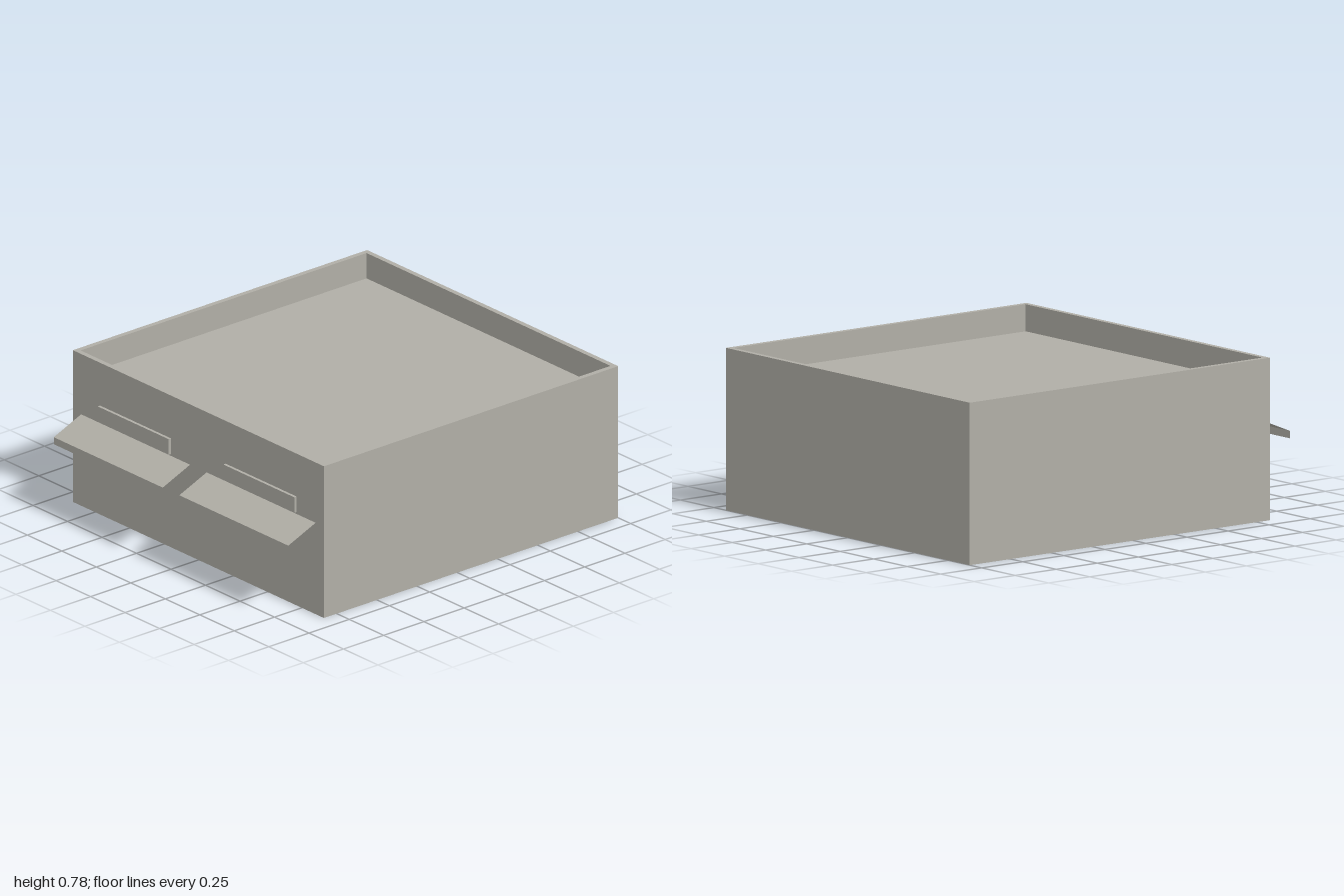
import * as THREE from 'three';

export function createModel() {
  const model = new THREE.Group();
  const grey = new THREE.MeshStandardMaterial({ color: 0xb0aea6, side: THREE.DoubleSide });
  grey.name = 'warm grey concrete';

  const HALF = 0.91, BACK = -1, FRONT = 0.83, TOP = 0.78;
  const RIM = 0.026, ROOF = 0.65;
  const depth = FRONT - BACK, midZ = (FRONT + BACK) / 2;

  const add = (name, geometry, parent = model) => {
    const mesh = new THREE.Mesh(geometry, grey);
    mesh.name = name;
    parent.add(mesh);
    return mesh;
  };

  // Four upright sheets around a rectangle; inward turns them to face the middle
  const addWalls = (name, w, d, y0, y1, inward) => {
    const walls = new THREE.Group();
    walls.name = name;
    for (let i = 0; i < 4; i++) {
      const width = i % 2 ? d : w, away = (i % 2 ? w : d) / 2;
      const g = new THREE.PlaneGeometry(width, y1 - y0);
      if (inward) g.rotateY(Math.PI);
      g.translate(0, (y0 + y1) / 2, away).rotateY(i * Math.PI / 2).translate(0, 0, midZ);
      add(['front', 'left', 'back', 'right'][i] + 'Wall', g, walls);
    }
    model.add(walls);
  };

  // Open-bottomed shell with a parapet around a sunken roof
  const innerW = 2 * (HALF - RIM), innerD = depth - 2 * RIM;
  addWalls('outerWalls', 2 * HALF, depth, 0, TOP, false);
  addWalls('parapetInside', innerW, innerD, ROOF, TOP, true);
  add('roof', new THREE.PlaneGeometry(innerW, innerD).rotateX(-Math.PI / 2).translate(0, ROOF, midZ));

  // Flat parapet cap: a rectangle with a rectangular hole
  const corners = (w, d) => [[-w, -d], [w, -d], [w, d], [-w, d]].map(([x, y]) => new THREE.Vector2(x / 2, y / 2));
  const cap = new THREE.Shape(corners(2 * HALF, depth));
  cap.holes.push(new THREE.Path(corners(innerW, innerD)));
  add('parapetCap', new THREE.ShapeGeometry(cap).rotateX(-Math.PI / 2).translate(0, TOP, midZ));

  // Two sign panels, each over a sheet awning with a hanging lip
  const slope = [0.17, 0.07];
  for (const side of [-1, 1]) {
    const bay = new THREE.Group();
    bay.name = side > 0 ? 'leftBay' : 'rightBay';
    bay.position.set(side * 0.455, 0, FRONT);
    add('signPanel', new THREE.BoxGeometry(0.515, 0.08, 0.015).translate(0, 0.52, 0.0075), bay);
    const awning = new THREE.PlaneGeometry(0.79, Math.hypot(...slope));
    awning.rotateX(-Math.atan2(slope[0], slope[1])).translate(0, 0.435, slope[0] / 2);
    add('awning', awning, bay);
    add('awningLip', new THREE.PlaneGeometry(0.79, 0.036).translate(0, 0.382, slope[0]), bay);
    model.add(bay);
  }
  return model;
}
